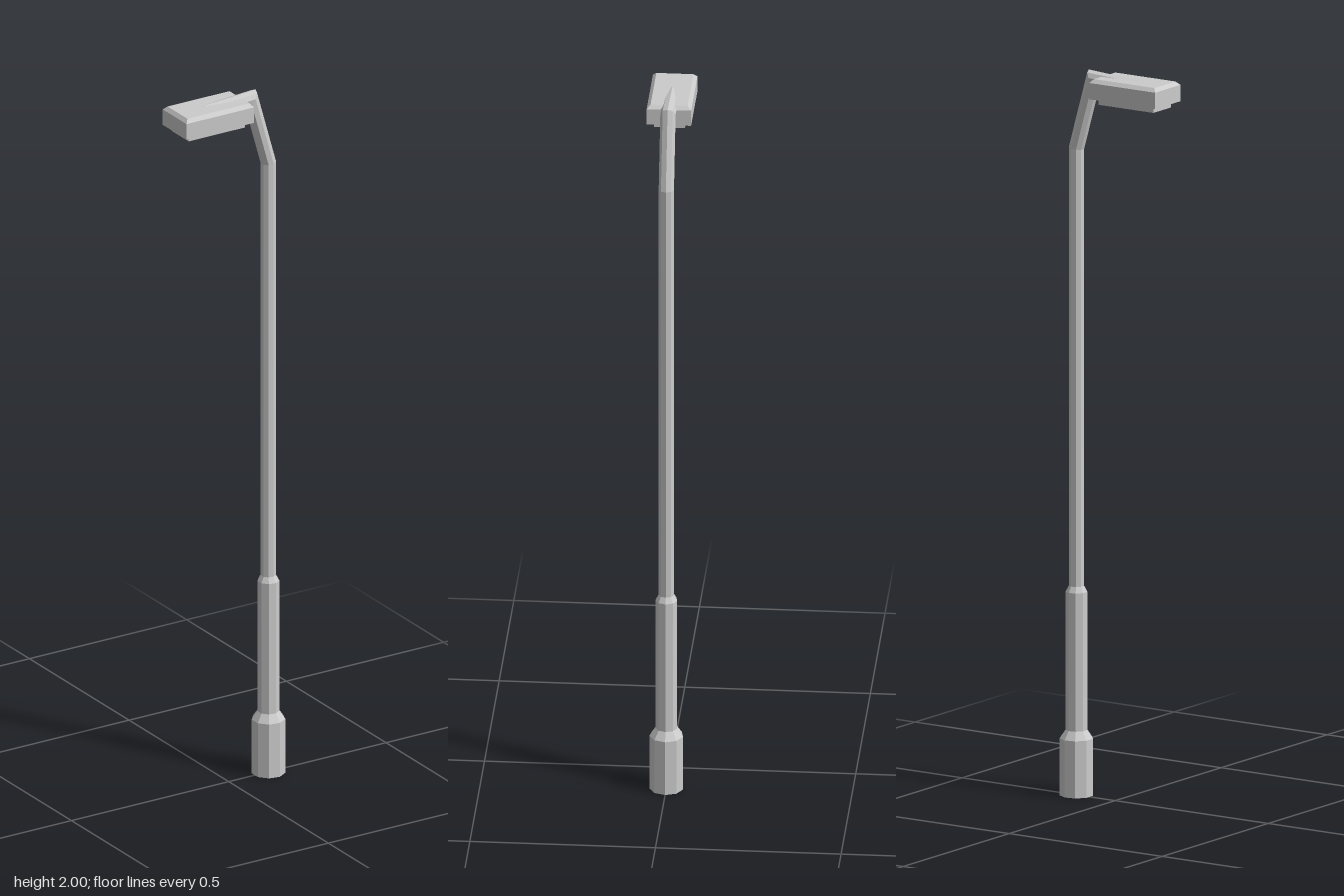
import * as THREE from 'three';

const SIDES = 9;
const POLE_X = 0.126;
const material = new THREE.MeshStandardMaterial({ color: 0xcccccc, flatShading: true });

// Skin a list of equal-length point rings and close both ends.
// Rings run counter-clockwise seen from the end of the loft.
function loft(name, rings) {
  const n = rings[0].length;
  const index = [];
  for (let r = 0; r < rings.length - 1; r++) {
    for (let i = 0; i < n; i++) {
      const a = r * n + i, b = r * n + (i + 1) % n;
      index.push(a, b, b + n, a, b + n, a + n);
    }
  }
  const last = (rings.length - 1) * n;
  for (let i = 1; i < n - 1; i++) {
    index.push(0, i + 1, i, last, last + i, last + i + 1);
  }
  const indexed = new THREE.BufferGeometry();
  indexed.setAttribute('position', new THREE.Float32BufferAttribute(rings.flat(2), 3));
  indexed.setIndex(index);
  const geometry = indexed.toNonIndexed();
  geometry.computeVertexNormals();
  const mesh = new THREE.Mesh(geometry, material);
  mesh.name = name;
  return mesh;
}

// Nine-sided ring whose in-plane axis is tilted by an angle about z
function poleRing(x, y, radius, tilt = 0, stretch = 1) {
  return Array.from({ length: SIDES }, (_, i) => {
    const a = (i / SIDES) * Math.PI * 2;
    const u = Math.cos(a) * radius * stretch;
    return [x + u * Math.cos(tilt), y + u * Math.sin(tilt), -Math.sin(a) * radius];
  });
}

// Horizontal rectangle ring
function rectRing(x0, x1, halfDepth, y) {
  return [[x0, y, halfDepth], [x1, y, halfDepth], [x1, y, -halfDepth], [x0, y, -halfDepth]];
}

// Sweep a nine-sided tube along points in the xy plane with mitred bends
function bentTube(name, points, radius) {
  const heading = (a, b) => {
    const angle = Math.atan2(b[1] - a[1], b[0] - a[0]);
    return angle < 0 ? angle + Math.PI * 2 : angle;
  };
  const rings = points.map((p, i) => {
    const before = heading(points[Math.max(i - 1, 0)], points[Math.max(i, 1)]);
    const after = i < points.length - 1 ? heading(p, points[i + 1]) : before;
    const tilt = (before + after) / 2 - Math.PI / 2;
    return poleRing(p[0], p[1], radius, tilt, 1 / Math.cos((after - before) / 2));
  });
  return loft(name, rings);
}

export function createModel() {
  const group = new THREE.Group();
  group.name = 'streetLamp';

  // Footing and lower sleeve, each with a short tapered shoulder
  group.add(loft('base', [
    poleRing(POLE_X, 0, 0.046),
    poleRing(POLE_X, 0.157, 0.046),
    poleRing(POLE_X, 0.18, 0.03),
  ]));
  group.add(loft('sleeve', [
    poleRing(POLE_X, 0.18, 0.03),
    poleRing(POLE_X, 0.56, 0.03),
    poleRing(POLE_X, 0.576, 0.021),
  ]));

  // Pole, leaning neck and arm in one bent tube
  group.add(bentTube('pole', [
    [POLE_X, 0.57], [POLE_X, 1.78], [0.07, 1.978], [-0.08, 1.969],
  ], 0.021));

  // Lamp housing with chamfered top edges
  group.add(loft('lampHousing', [
    rectRing(-0.172, 0.043, 0.06, 1.934),
    rectRing(-0.172, 0.043, 0.06, 1.979),
    rectRing(-0.163, 0.034, 0.05, 1.989),
  ]));

  // Light panel under the housing
  group.add(loft('lightPanel', [
    rectRing(-0.154, 0.025, 0.042, 1.918),
    rectRing(-0.154, 0.025, 0.042, 1.936),
  ]));

  return group;
}
